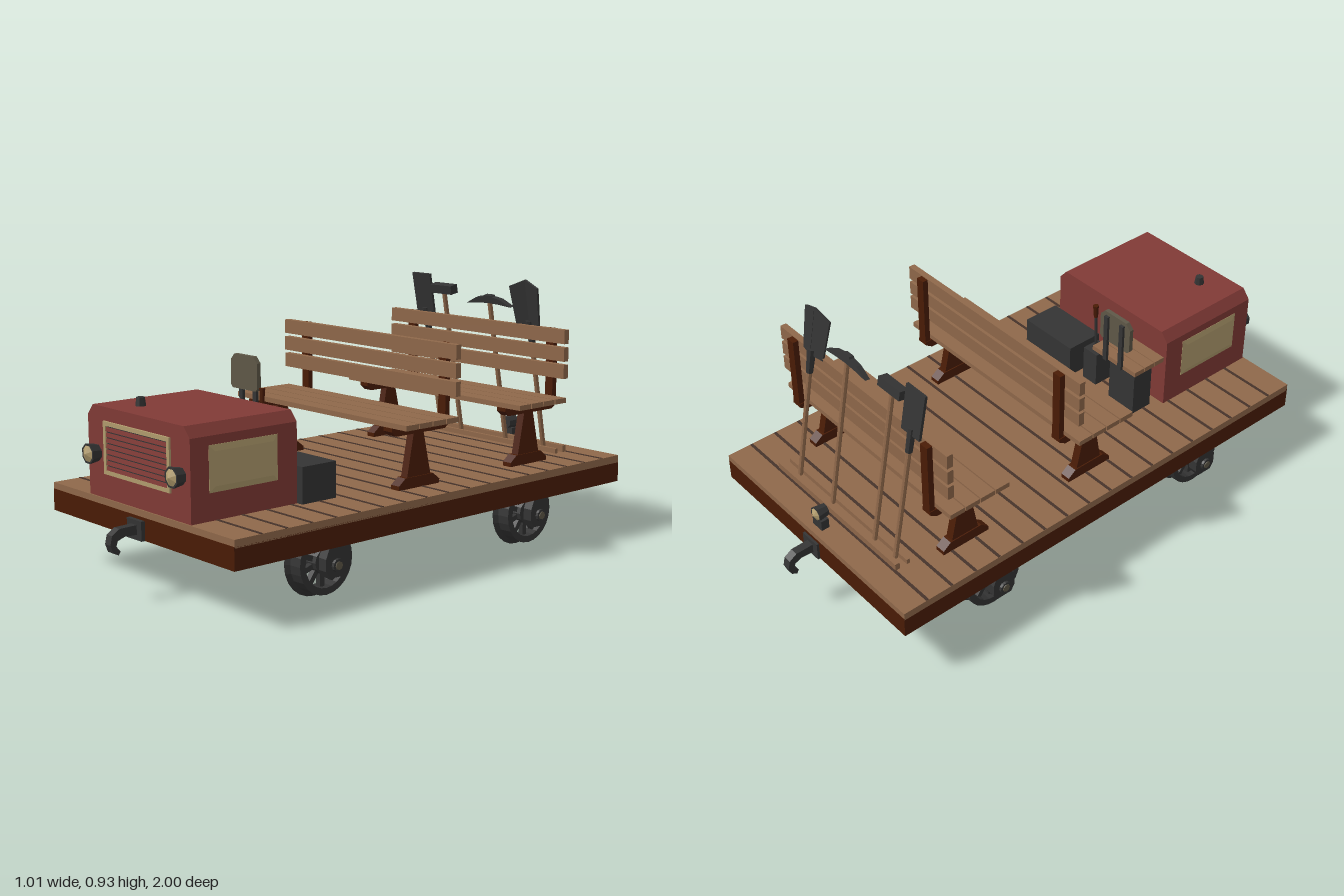
import * as THREE from 'three';

const mat = (name, color) => {
  const m = new THREE.MeshStandardMaterial({ color });
  m.name = name;
  m.flatShading = true;
  return m;
};

export function createModel() {
  const wood = mat('plank wood', 0x8f684a);
  const gapWood = mat('gap wood', 0x46332a);
  const brown = mat('dark timber', 0x4a1c05);
  const red = mat('red paint', 0x813a36);
  const iron = mat('dark iron', 0x343434);
  const brass = mat('brass', 0xb29d6e);
  const olive = mat('olive cushion', 0x5f5848);

  const root = new THREE.Group();
  root.name = 'railTrolley';
  const group = (name, parent = root) => {
    const g = new THREE.Group();
    g.name = name;
    parent.add(g);
    return g;
  };
  const add = (name, geo, material, parent = root, x = 0, y = 0, z = 0) => {
    const m = new THREE.Mesh(geo, material);
    m.name = name;
    m.position.set(x, y, z);
    parent.add(m);
    return m;
  };
  // box given by its min and max on each axis
  const box = (name, material, x0, x1, y0, y1, z0, z1, parent = root) =>
    add(name, new THREE.BoxGeometry(x1 - x0, y1 - y0, z1 - z0), material, parent,
      (x0 + x1) / 2, (y0 + y1) / 2, (z0 + z1) / 2);
  const shape = (pts) => new THREE.Shape(pts.map(([x, y]) => new THREE.Vector2(x, y)));
  // outline in x,y extruded along z, centred
  const slab = (pts, depth, hole) => {
    const s = shape(pts);
    if (hole) s.holes.push(shape(hole));
    return new THREE.ExtrudeGeometry(s, { depth, bevelEnabled: false }).translate(0, 0, -depth / 2);
  };
  // outline in z,y extruded along x, centred
  const sideSlab = (pts, depth) => slab(pts, depth).rotateY(-Math.PI / 2);
  const rect = (x0, x1, y0, y1) => [[x0, y0], [x1, y0], [x1, y1], [x0, y1]];
  const cyl = (r0, r1, h, n = 12) => new THREE.CylinderGeometry(r0, r1, h, n);

  // planked deck with dark seams on a timber frame
  const deck = group('deck');
  const pitch = 1.775 / 18;
  box('deckBoard', wood, -0.5, 0.5, 0.26, 0.287, -0.89, 0.885, deck);
  for (let i = 1; i < 18; i++) {
    const z = -0.89 + i * pitch;
    box('plankSeam', gapWood, -0.499, 0.499, 0.28, 0.2885, z - 0.0105, z, deck);
  }
  for (const s of [-1, 1]) {
    box('sideBeam', brown, s * 0.475 - 0.025, s * 0.475 + 0.025, 0.19, 0.265, -0.89, 0.885, deck);
    box('endBeam', brown, -0.499, 0.499, 0.191, 0.265, s * 0.86 - 0.03, s * 0.86 + 0.026 - (s < 0 ? 0.026 : 0), deck);
    box('endFace', brown, -0.5, 0.5, 0.19, 0.265, s > 0 ? 0.88 : -0.891, s > 0 ? 0.886 : -0.86, deck);
  }
  for (const z of [-0.475, 0.03]) box('crossBeam', brown, -0.45, 0.45, 0.2, 0.261, z - 0.025, z + 0.025, deck);

  // wheelsets
  const tyre = [[0.086, 0.03], [0.109, 0.03], [0.111, -0.015], [0.125, -0.029], [0.086, -0.03], [0.086, 0.03]]
    .map(([r, h]) => new THREE.Vector2(r, h)).reverse();
  for (const z of [-0.475, 0.475]) {
    const set = group('wheelset');
    set.position.set(0, 0.13, z);
    add('axle', cyl(0.015, 0.015, 0.94).rotateZ(Math.PI / 2), iron, set);
    for (const s of [-1, 1]) {
      const wheel = group('wheel', set);
      wheel.position.x = s * 0.41;
      wheel.rotation.z = -s * Math.PI / 2;
      add('rim', new THREE.LatheGeometry(tyre, 24), iron, wheel);
      add('hub', cyl(0.042, 0.045, 0.05), iron, wheel);
      for (let i = 0; i < 10; i++) {
        const spoke = group('spoke', wheel);
        spoke.rotation.y = i * Math.PI / 5;
        add('spokeBar', new THREE.BoxGeometry(0.06, 0.02, 0.018), iron, spoke, 0.062);
      }
      // axle box hanging from the side beam
      add('axleBox', sideSlab([[-0.03, -0.04], [0.03, -0.04], [0.045, -0.015], [0.045, 0.025], [0.03, 0.06], [-0.03, 0.06], [-0.045, 0.025], [-0.045, -0.015]], 0.035),
        iron, set, s * 0.473);
      add('axleCap', cyl(0.022, 0.022, 0.01).rotateZ(Math.PI / 2), iron, set, s * 0.495);
      add('axleBolt', cyl(0.014, 0.014, 0.004, 8).rotateZ(Math.PI / 2), olive, set, s * 0.501);
    }
  }
  box('gearbox', iron, -0.095, 0.09, 0.07, 0.19, 0.39, 0.56);

  // coupling hooks at both ends
  for (const s of [1, -1]) {
    const hook = group('coupling');
    hook.rotation.y = s > 0 ? 0 : Math.PI;
    box('couplingPlate', iron, -0.04, 0.04, 0.19, 0.255, 0.884, 0.9, hook);
    add('hook', sideSlab([[0.89, 0.207], [0.945, 0.21], [0.972, 0.2], [0.978, 0.183], [0.962, 0.165], [0.97, 0.153], [0.99, 0.163],
      [1, 0.19], [0.993, 0.22], [0.965, 0.238], [0.89, 0.24]], 0.03), iron, hook);
  }

  // engine hood with chamfered top edges
  const hood = group('engineHood');
  add('hoodBody', slab([[-0.28, 0.285], [0.28, 0.285], [0.28, 0.555], [0.25, 0.59], [-0.25, 0.59], [-0.28, 0.555]], 0.42),
    red, hood, 0, 0, 0.67);
  box('grilleBack', iron, -0.175, 0.175, 0.375, 0.535, 0.876, 0.881, hood);
  for (let i = 0; i < 8; i++) {
    const slat = box('grilleSlat', red, -0.17, 0.17, 0.383 + i * 0.0185, 0.397 + i * 0.0185, 0.879, 0.885, hood);
    slat.rotation.x = -0.2;
  }
  add('grilleFrame', slab(rect(-0.183, 0.181, 0.37, 0.545), 0.009, rect(-0.169, 0.167, 0.384, 0.531).reverse()),
    brass, hood, 0, 0, 0.883);
  add('fillerCap', cyl(0.014, 0.018, 0.03, 8), iron, hood, -0.122, 0.604, 0.78);
  // side panels with bevelled rims
  for (const s of [-1, 1]) {
    const panel = new THREE.ExtrudeGeometry(shape(rect(-0.115, 0.115, -0.055, 0.055)),
      { depth: 0.001, bevelThickness: 0.006, bevelSize: 0.02, bevelSegments: 1 });
    add('sidePanel', panel, brass, hood, s * 0.28, 0.451, 0.675).rotation.y = s * Math.PI / 2;
  }
  const lamp = (name, x, y, z, r, yaw) => {
    const g = group(name);
    g.position.set(x, y, z);
    g.rotation.y = yaw;
    add('lampHousing', cyl(r, r * 0.8, 0.04, 8).rotateY(Math.PI / 8).rotateX(Math.PI / 2), iron, g, 0, 0, 0.02);
    add('lampLens', new THREE.ConeGeometry(r * 0.8, 0.012, 8).rotateY(Math.PI / 8).rotateX(Math.PI / 2), brass, g, 0, 0, 0.046);
  };
  for (const s of [-1, 1]) lamp('headlamp', s * 0.231, 0.433, 0.877, 0.035, 0);
  lamp('rearLamp', 0, 0.345, -0.828, 0.028, Math.PI);
  box('rearLampStand', iron, -0.025, 0.025, 0.285, 0.325, -0.865, -0.835);

  // driver's seat, control column and tool box
  const cab = group('driverArea');
  box('toolBox', iron, 0.063, 0.305, 0.285, 0.41, 0.315, 0.459, cab);
  box('seatPedestal', iron, -0.25, -0.125, 0.285, 0.5, 0.335, 0.42, cab);
  for (const z of [0.29, 0.338, 0.386]) box('driverSeatSlat', wood, -0.295, -0.08, 0.5, 0.518, z, z + 0.045, cab);
  add('driverBackrest', slab([[-0.26, 0.59], [-0.25, 0.58], [-0.125, 0.58], [-0.114, 0.59], [-0.114, 0.678], [-0.135, 0.7],
    [-0.24, 0.7], [-0.26, 0.678]], 0.016), olive, cab, 0, 0, 0.298);
  for (const x of [-0.225, -0.15]) box('backrestBar', iron, x - 0.009, x + 0.009, 0.5, 0.685, 0.28, 0.291, cab);
  box('controlColumn', iron, -0.04, 0.028, 0.285, 0.42, 0.35, 0.42, cab);
  const lever = group('lever', cab);
  lever.position.set(-0.006, 0.42, 0.378);
  lever.rotation.x = -0.04;
  add('leverRod', cyl(0.006, 0.006, 0.15, 6), iron, lever, 0, 0.075);
  add('leverGrip', cyl(0.011, 0.008, 0.05, 6), brown, lever, 0, 0.17);

  // two passenger benches
  for (const z0 of [0, -0.545]) {
    const bench = group('bench');
    bench.position.z = z0;
    for (let i = 0; i < 4; i++) {
      const z = -0.108 + i * 0.0615;
      box('seatSlat', wood, -0.445, 0.445, 0.503, 0.521, z, z + 0.057, bench);
    }
    for (const y of [0.59, 0.652, 0.715]) box('backSlat', wood, -0.445, 0.445, y, y + 0.05, -0.115, -0.092, bench);
    for (const s of [-1, 1]) {
      const x = s * 0.357;
      box('backPost', brown, x - 0.017, x + 0.017, 0.49, 0.762, -0.136, -0.115, bench);
      add('seatBearer', sideSlab([[-0.11, 0.473], [0.115, 0.473], [0.135, 0.49], [0.135, 0.503], [-0.136, 0.503], [-0.136, 0.49]], 0.04), brown, bench, x);
      add('benchLeg', sideSlab([[-0.05, 0.32], [0.06, 0.32], [0.03, 0.475], [-0.015, 0.475]], 0.03), brown, bench, x);
      add('benchFoot', sideSlab([[-0.088, 0.285], [0.1, 0.285], [0.1, 0.302], [0.07, 0.325], [-0.058, 0.325], [-0.088, 0.302]], 0.038), brown, bench, x);
    }
  }

  // leaning hand tools and their floor rail
  box('toolRailBack', wood, -0.33, 0.33, 0.285, 0.312, -0.794, -0.776);
  box('toolRailFront', wood, -0.33, 0.33, 0.285, 0.305, -0.748, -0.736);
  const tool = (name, x, length) => {
    const g = group(name);
    g.position.set(x, 0.288, -0.757);
    g.rotation.x = 0.187;
    add('handle', cyl(0.009, 0.009, length, 8), wood, g, 0, length / 2);
    return g;
  };
  const spade = tool('spade', -0.28, 0.48);
  add('spadeBlade', slab([[-0.045, 0.475], [0.045, 0.475], [0.047, 0.637], [-0.047, 0.637]], 0.01), iron, spade);
  add('spadeSocket', cyl(0.014, 0.012, 0.09, 8), iron, spade, 0, 0.455);
  const hammer = tool('sledgeHammer', -0.169, 0.58);
  add('hammerHead', new THREE.BoxGeometry(0.11, 0.033, 0.035), iron, hammer, 0, 0.585);
  const pick = tool('pickaxe', 0.065, 0.56);
  add('pickHead', slab([[-0.11, 0.543], [-0.05, 0.549], [0, 0.551], [0.05, 0.549], [0.11, 0.543], [0.06, 0.568], [0.022, 0.574],
    [0.018, 0.58], [-0.018, 0.58], [-0.022, 0.574], [-0.06, 0.568]], 0.02), iron, pick);
  const shovel = tool('pointedShovel', 0.255, 0.48);
  // blade dished along its length
  const dish = [[-0.055, 0.478], [0, 0.478], [0, 0.653], [-0.069, 0.628]];
  for (const s of [-1, 1]) {
    const half = s < 0 ? dish : dish.map(([x, y]) => [-x, y]).reverse();
    add('shovelBlade', slab(half, 0.008), iron, shovel).rotation.y = -s * 0.2;
  }
  add('shovelSocket', cyl(0.016, 0.012, 0.09, 8), iron, shovel, 0, 0.455);
  return root;
}
